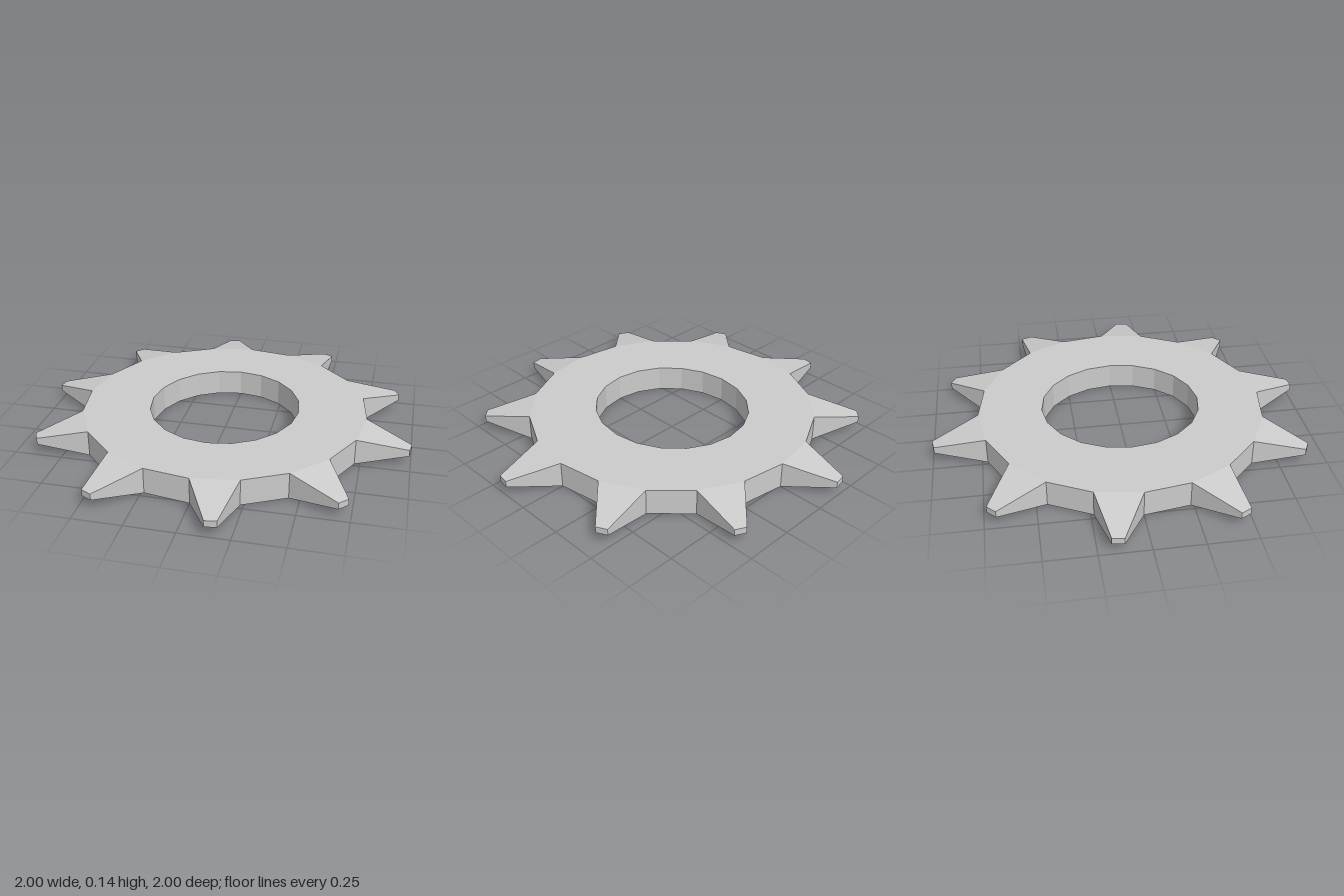
import * as THREE from 'three';

const TEETH = 10, SIDES = 20, STEP = (Math.PI * 2) / SIDES;
const HEIGHT = 0.138, MID = HEIGHT / 2;
const ROOT_R = 0.76, TIP_R = 1.007, TIP_HALF_WIDTH = 0.03, TIP_HALF_HEIGHT = 0.017;
const HOLE_X = 0.4, HOLE_Z = 0.422;

// Collects flat quads (corners counter-clockwise from outside) into one mesh
function quadMesh(name, quads) {
  const pos = [];
  for (const [a, b, c, d] of quads) pos.push(...a, ...b, ...c, ...a, ...c, ...d);
  const geo = new THREE.BufferGeometry();
  geo.setAttribute('position', new THREE.Float32BufferAttribute(pos, 3));
  geo.computeVertexNormals();
  const mesh = new THREE.Mesh(geo, new THREE.MeshStandardMaterial({ color: 0xcccccc, flatShading: true }));
  mesh.name = name;
  return mesh;
}

const at = (rx, rz, angle) => [rx * Math.cos(angle), rz * Math.sin(angle)];
// Bottom and top point above a plan position
const post = ([x, z], half) => ({ lo: [x, MID - half, z], hi: [x, MID + half, z] });
const wall = (p, q) => [p.lo, p.hi, q.hi, q.lo];

// Top and bottom faces of a segment running from an inner edge to an outer edge
const caps = (in0, in1, out1, out0) => [
  [in0.hi, in1.hi, out1.hi, out0.hi],
  [out0.lo, out1.lo, in1.lo, in0.lo],
];

// Flat faceted ring with an open bore; every other outer facet carries a tooth
function makeRing() {
  const quads = [];
  for (let i = 0; i < SIDES; i++) {
    const a = i * STEP, b = a + STEP;
    const in0 = post(at(HOLE_X, HOLE_Z, a), MID), in1 = post(at(HOLE_X, HOLE_Z, b), MID);
    const out0 = post(at(ROOT_R, ROOT_R, a), MID), out1 = post(at(ROOT_R, ROOT_R, b), MID);
    quads.push(...caps(in0, in1, out1, out0), wall(in1, in0));
    if (i % 2) quads.push(wall(out0, out1));
  }
  return quadMesh('ring', quads);
}

// Tooth tapering in width and height to a small blunt tip
function makeTooth(i) {
  const a = i * 2 * STEP, b = a + STEP, mid = a + STEP / 2;
  const [cx, cz] = at(TIP_R, TIP_R, mid);
  const tx = -Math.sin(mid) * TIP_HALF_WIDTH, tz = Math.cos(mid) * TIP_HALF_WIDTH;
  const root0 = post(at(ROOT_R, ROOT_R, a), MID), root1 = post(at(ROOT_R, ROOT_R, b), MID);
  const tip0 = post([cx - tx, cz - tz], TIP_HALF_HEIGHT), tip1 = post([cx + tx, cz + tz], TIP_HALF_HEIGHT);
  return quadMesh('tooth', [
    ...caps(root0, root1, tip1, tip0),
    wall(root0, tip0), wall(tip0, tip1), wall(tip1, root1),
  ]);
}

export function createModel() {
  const model = new THREE.Group();
  model.name = 'sprocket';
  model.add(makeRing());
  const teeth = new THREE.Group();
  teeth.name = 'teeth';
  for (let i = 0; i < TEETH; i++) teeth.add(makeTooth(i));
  model.add(teeth);
  return model;
}
